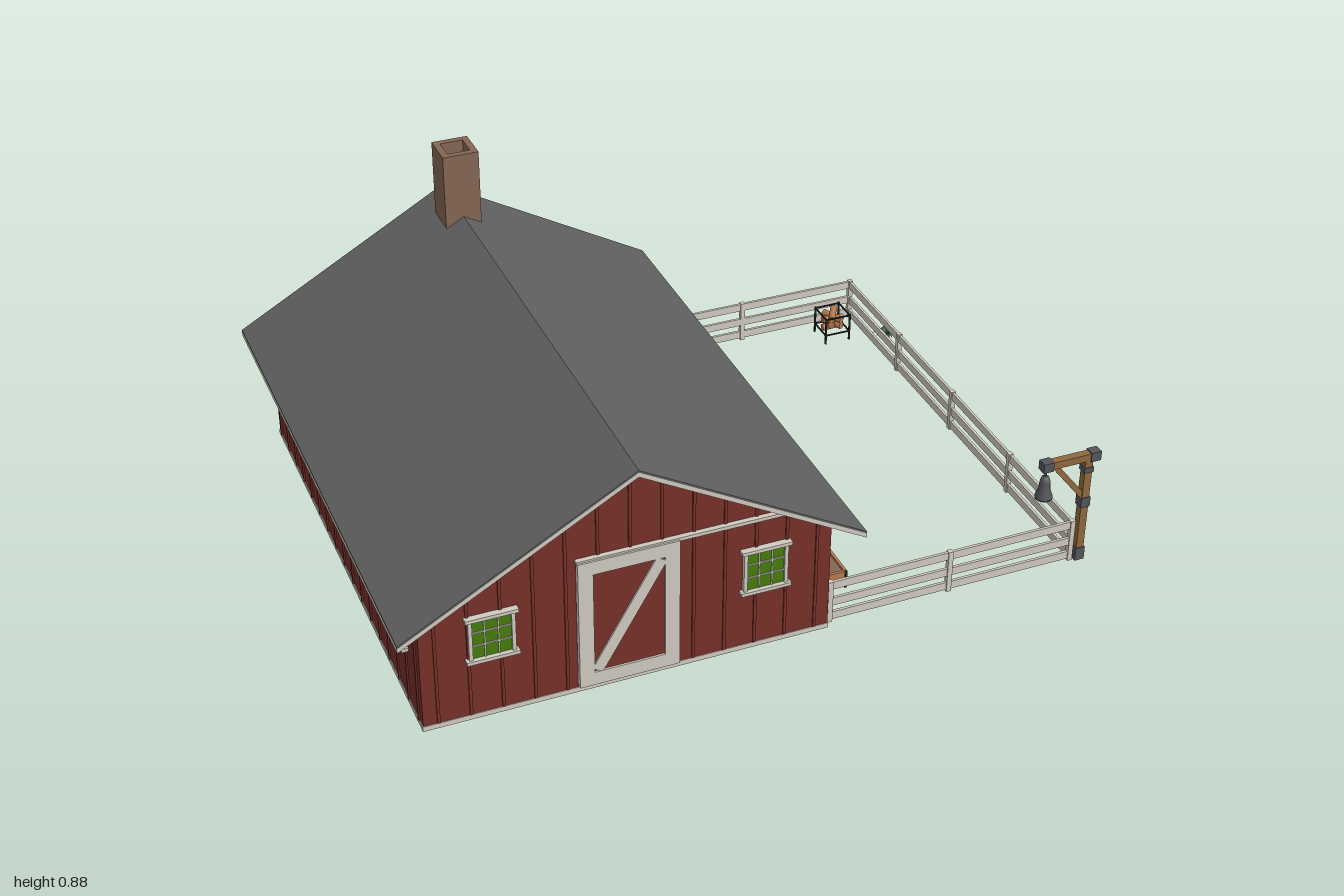
import * as THREE from 'three';

const mat = (name, color, side = THREE.FrontSide) => {
  const m = new THREE.MeshStandardMaterial({ color, side });
  m.name = name;
  return m;
};
const RED = mat('barn red', 0x78302a);
const CREAM = mat('cream trim', 0xd0cbc0);
const ROOF = mat('roof grey', 0x606060);
const BRICK = mat('chimney brown', 0x856654);
const GLASS = mat('window green', 0x467c0c);
const WOOD = mat('post wood', 0x8f6a3e);
const BARREL = mat('warm wood', 0xb87a50);
const IRON = mat('iron', 0x55575b);
const DARK = mat('dark metal', 0x242424);
const LEAF = mat('leaf green', 0x2c4a2c, THREE.DoubleSide);

const CX = -0.38, HALF = 0.55, ZW = 0.71, SLOPE = 0.564, RIDGE = 0.683;
const V = (x, y, z) => new THREE.Vector3(x, y, z);

function add(parent, name, geo, material, x = 0, y = 0, z = 0) {
  const m = new THREE.Mesh(geo, material);
  m.name = name;
  m.position.set(x, y, z);
  parent.add(m);
  return m;
}
const box = (p, name, material, w, h, d, x, y, z) =>
  add(p, name, new THREE.BoxGeometry(w, h, d), material, x, y, z);

// Square or round bar between two points
function bar(p, name, material, a, b, w, round = false) {
  const len = a.distanceTo(b);
  const geo = round ? new THREE.CylinderGeometry(w / 2, w / 2, len, 8) : new THREE.BoxGeometry(w, len, w);
  const m = add(p, name, geo, material);
  m.position.copy(a).add(b).multiplyScalar(0.5);
  m.quaternion.setFromUnitVectors(V(0, 1, 0), b.clone().sub(a).normalize());
  return m;
}
function group(parent, name, x = 0, y = 0, z = 0, ry = 0) {
  const g = new THREE.Group();
  g.name = name;
  g.position.set(x, y, z);
  g.rotation.y = ry;
  parent.add(g);
  return g;
}
const extrude = (pts, depth, holes = []) => {
  const s = new THREE.Shape(pts.map(([x, y]) => new THREE.Vector2(x, y)));
  holes.forEach(([x0, x1, y0, y1]) => s.holes.push(new THREE.Path(
    [[x0, y0], [x0, y1], [x1, y1], [x1, y0]].map(([x, y]) => new THREE.Vector2(x, y)))));
  return new THREE.ExtrudeGeometry(s, { depth, bevelEnabled: false });
};

// Roof layer: a chevron between two vertical offsets below the top line
function roofLayer(p, name, material, d0, d1) {
  const w = 0.618, e = RIDGE - w * SLOPE;
  const pts = [[-w, e - d1], [0, RIDGE - d1], [w, e - d1], [w, e - d0], [0, RIDGE - d0], [-w, e - d0]];
  add(p, name, extrude(pts, 1.55), material, CX, 0, -0.775);
}

// Window facing local +z
function addWindow(p, x, y, z, ry) {
  const g = group(p, 'window', x, y, z, ry);
  box(g, 'pane', GLASS, 0.11, 0.12, 0.006, 0, 0, 0.003);
  for (const s of [-1, 1]) {
    box(g, 'sideFrame', CREAM, 0.01, 0.128, 0.012, s * 0.056, 0, 0.006);
    box(g, 'sill', CREAM, 0.138, 0.01, 0.018, 0, s * 0.064, 0.009);
    box(g, 'uprightBar', CREAM, 0.004, 0.12, 0.008, s * 0.018, 0, 0.005);
    box(g, 'crossBar', CREAM, 0.11, 0.004, 0.008, 0, s * 0.02, 0.005);
  }
}

function buildBarn(root) {
  const barn = group(root, 'barn');
  box(barn, 'foundation', CREAM, 1.104, 0.015, 1.424, CX, 0.0075, 0);

  // Gable walls
  const under = RIDGE - 0.018, eave = under - HALF * SLOPE, t = 0.012;
  const gable = [[-HALF, 0.012], [HALF, 0.012], [HALF, eave], [0, under], [-HALF, eave]];
  add(barn, 'frontWall', extrude(gable, t), RED, CX, 0, ZW - t);
  add(barn, 'backWall', extrude(gable, t), RED, CX, 0, -ZW);

  // Long walls, the yard side with two open doorways
  const long = [[-ZW, 0.012], [ZW, 0.012], [ZW, eave], [-ZW, eave]];
  const doors = [[-0.341, -0.199], [0.191, 0.341]];
  const yard = add(barn, 'yardWall', extrude(long, t, doors.map(([a, b]) => [a, b, 0.016, 0.312])), RED, CX + HALF - t);
  yard.rotation.y = Math.PI / 2;
  const far = add(barn, 'farWall', extrude(long, t), RED, CX - HALF);
  far.rotation.y = Math.PI / 2;
  for (const [a, b] of doors) {
    const g = group(barn, 'doorFrame', CX + HALF, 0, -(a + b) / 2);
    const w = b - a;
    for (const s of [-1, 1]) box(g, 'doorJamb', CREAM, 0.024, 0.312, 0.012, -0.004, 0.158, s * (w / 2 + 0.002));
    box(g, 'doorHead', CREAM, 0.024, 0.012, w + 0.016, -0.004, 0.317, 0);
  }

  // Vertical battens
  for (const s of [-1, 1]) {
    for (let i = -6; i <= 6; i++) {
      const h = under - Math.abs(i * 0.085) * SLOPE - 0.018;
      box(barn, 'batten', RED, 0.008, h, 0.004, CX + i * 0.085, 0.015 + h / 2, s * (ZW + 0.002));
    }
    for (let i = -8; i <= 8; i++) {
      const z = i * 0.085, h = eave - 0.018;
      if (s > 0 && doors.some(([a, b]) => -z > a - 0.015 && -z < b + 0.015)) continue;
      box(barn, 'batten', RED, 0.004, h, 0.008, CX + s * (HALF + 0.002), 0.015 + h / 2, z);
    }
  }

  // Windows on all four walls
  for (const x of [-0.365, 0.365]) addWindow(barn, CX + x, 0.252, ZW, 0);
  for (const x of [-0.365, 0, 0.365]) addWindow(barn, CX + x, 0.252, -ZW, Math.PI);
  for (const z of [-0.535, 0.006, 0.548])
    for (const s of [-1, 1]) addWindow(barn, CX + s * HALF, 0.252, z, s * Math.PI / 2);

  // Sliding front door with a diagonal brace and its track
  const door = group(barn, 'slidingDoor', -0.389, 0.218, ZW);
  box(door, 'doorPanel', RED, 0.26, 0.37, 0.012, 0, 0, 0.008);
  for (const s of [-1, 1]) {
    box(door, 'doorStile', CREAM, 0.04, 0.386, 0.016, s * 0.115, 0, 0.012);
    box(door, 'doorRail', CREAM, 0.19, 0.04, 0.016, 0, s * 0.173, 0.012);
  }
  const brace = box(door, 'doorBrace', CREAM, 0.032, 0.345, 0.014, 0, 0, 0.012);
  brace.rotation.z = -Math.atan2(0.175, 0.3);
  box(barn, 'doorTrack', CREAM, 0.555, 0.01, 0.014, -0.248, 0.411, ZW + 0.008);

  roofLayer(barn, 'roof', ROOF, 0, 0.006);
  roofLayer(barn, 'roofTrim', CREAM, 0.006, 0.019);

  // Hollow square chimney
  const c = 0.052, i = 0.033;
  const stack = extrude([[-c, -c], [c, -c], [c, c], [-c, c]], 0.222, [[-i, i, -i, i]]);
  add(barn, 'chimney', stack, BRICK, CX, 0.655, -0.622).rotation.x = -Math.PI / 2;
  box(barn, 'chimneyFlue', CREAM, 2 * i, 0.008, 2 * i, CX, 0.688, -0.622);
}

function buildFence(root) {
  const fence = group(root, 'fence');
  const F = 0.688, X = 0.904;
  for (const y of [0.116, 0.063, 0.018]) {
    for (const s of [-1, 1]) box(fence, 'fenceRail', CREAM, X - 0.175, 0.024, 0.008, (X + 0.175) / 2, y, s * F);
    box(fence, 'fenceRail', CREAM, 0.008, 0.024, 2 * F, X, y, 0);
  }
  const post = (x, z) => box(fence, 'fencePost', CREAM, 0.014, 0.13, 0.014, x, 0.065, z);
  for (const s of [-1, 1]) for (const x of [0.185, 0.535, X]) post(x, s * F);
  for (const z of [-0.345, 0, 0.345]) post(X, z);
}

function buildBellPost(root) {
  const g = group(root, 'bellPost', 0.93, 0, 0.688);
  box(g, 'post', WOOD, 0.022, 0.335, 0.022, 0, 0.1675, 0);
  box(g, 'beam', WOOD, 0.17, 0.022, 0.022, -0.05, 0.334, 0);
  bar(g, 'brace', WOOD, V(-0.1, 0.326, 0), V(0, 0.2, 0), 0.016);
  for (const [y, h] of [[0.02, 0.04], [0.19, 0.03], [0.295, 0.016]]) box(g, 'ironBand', IRON, 0.028, h, 0.028, 0, y, 0);
  for (const x of [-0.125, 0.018]) box(g, 'beamBand', IRON, 0.03, 0.028, 0.028, x, 0.334, 0);
  bar(g, 'bellHanger', IRON, V(-0.125, 0.325, 0), V(-0.125, 0.28, 0), 0.006, true);
  const profile = [[0, 0.3], [0.01, 0.298], [0.014, 0.285], [0.016, 0.26], [0.024, 0.238], [0.024, 0.232], [0, 0.24]];
  add(g, 'bell', new THREE.LatheGeometry(profile.reverse().map(([x, y]) => new THREE.Vector2(x, y)), 16), IRON, -0.125);
}

function buildYardItems(root) {
  // Barrel with hoops
  const barrel = group(root, 'barrel', 0.217, 0, -0.062);
  const r = [[0, 0], [0.024, 0], [0.029, 0.025], [0.03, 0.042], [0.029, 0.06], [0.024, 0.085], [0, 0.085]];
  add(barrel, 'staves', new THREE.LatheGeometry(r.map(([x, y]) => new THREE.Vector2(x, y)), 16), BARREL);
  for (const y of [0.02, 0.065]) add(barrel, 'hoop', new THREE.CylinderGeometry(0.03, 0.03, 0.006, 16), IRON, 0, y);

  // Feed trough on dark legs
  const trough = group(root, 'trough', 0.238, 0, 0.518);
  box(trough, 'troughFloor', BRICK, 0.1, 0.012, 0.1, 0, 0.04, 0);
  for (const s of [-1, 1]) {
    box(trough, 'troughSide', BARREL, 0.008, 0.022, 0.116, s * 0.05, 0.042, 0);
    box(trough, 'troughEnd', BARREL, 0.1, 0.022, 0.008, 0, 0.042, s * 0.052);
    bar(trough, 'troughRail', DARK, V(-0.052, 0.082, s * 0.054), V(0.0, 0.082, s * 0.054), 0.004);
    for (const k of [-1, 1]) bar(trough, 'leg', DARK, V(s * 0.05, 0, k * 0.056), V(s * 0.05, 0.055, k * 0.056), 0.006);
    bar(trough, 'backUpright', DARK, V(-0.05, 0.05, s * 0.054), V(-0.05, 0.083, s * 0.054), 0.004);
  }

  // Fire stand holding a stack of logs
  const stand = group(root, 'logStand', 0.805, 0, -0.602);
  for (const s of [-1, 1]) {
    for (const k of [-1, 1]) bar(stand, 'standLeg', DARK, V(s * 0.04, 0, k * 0.04), V(s * 0.04, 0.09, k * 0.04), 0.005);
    for (const y of [0.03, 0.086]) {
      bar(stand, 'standRail', DARK, V(-0.042, y, s * 0.04), V(0.042, y, s * 0.04), 0.004);
      bar(stand, 'standRail', DARK, V(s * 0.04, y, -0.042), V(s * 0.04, y, 0.042), 0.004);
    }
  }
  for (let i = 0; i < 6; i++) {
    const a = i * 1.05, y = 0.036 + i * 0.008;
    bar(stand, 'log', BARREL, V(-0.034 * Math.cos(a), y, -0.034 * Math.sin(a)), V(0.034 * Math.cos(a), y + 0.004, 0.034 * Math.sin(a)), 0.022, true);
  }

  // Fork leaning on the wall
  const fork = group(root, 'fork', 0, 0, -0.133);
  bar(fork, 'handle', DARK, V(0.179, 0.22, 0), V(0.222, 0.05, 0), 0.007, true);
  bar(fork, 'forkHead', DARK, V(0.222, 0.05, -0.024), V(0.222, 0.05, 0.024), 0.005);
  for (const z of [-0.022, 0, 0.022]) bar(fork, 'tine', DARK, V(0.222, 0.05, z), V(0.236, 0.004, z), 0.004);

  // Low plant with bent leaves
  const plant = group(root, 'plant', 0.953, 0, -0.528);
  for (let i = 0; i < 14; i++) {
    const leaf = new THREE.PlaneGeometry(0.012, 0.04, 2, 3);
    const p = leaf.attributes.position;
    for (let k = 0; k < p.count; k++) {
      const u = p.getY(k) / 0.04 + 0.5;
      p.setXYZ(k, p.getX(k) * Math.sin(Math.PI * (0.12 + 0.84 * u)), 0.002 + 0.024 * Math.sin(u * 2.6), u * (0.03 + 0.01 * (i % 2)));
    }
    leaf.computeVertexNormals();
    add(plant, 'leaf', leaf, LEAF).rotation.y = i * 2.4;
  }
}

export function createModel() {
  const root = new THREE.Group();
  root.name = 'barnWithYard';
  buildBarn(root);
  buildFence(root);
  buildBellPost(root);
  buildYardItems(root);
  return root;
}
